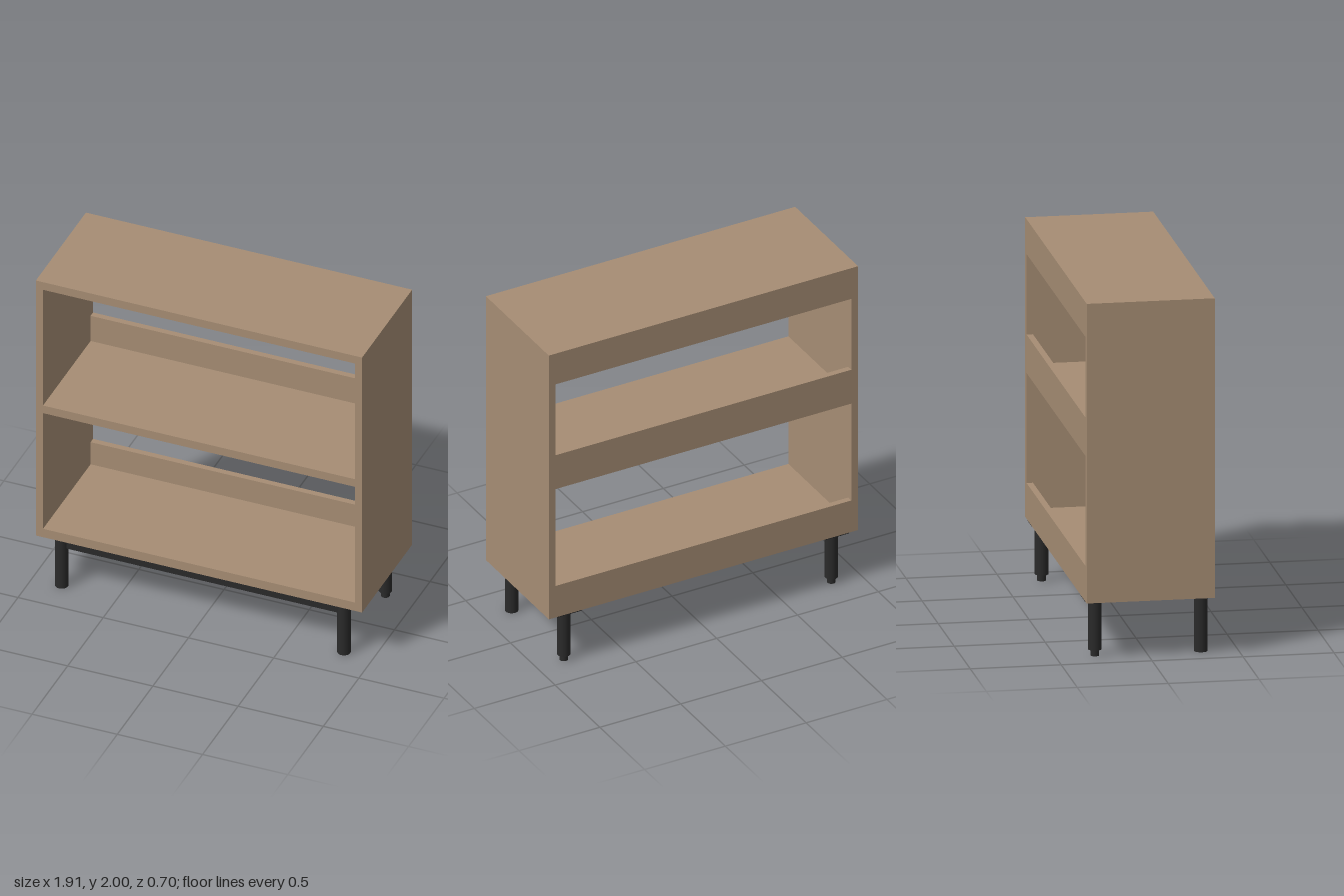
import * as THREE from 'three';

export function createModel() {
  const group = new THREE.Group();
  const wood = new THREE.MeshStandardMaterial({ color: 0xa68d74 });
  wood.name = 'wood';
  const metal = new THREE.MeshStandardMaterial({ color: 0x2a2a2a });
  metal.name = 'black metal';

  const add = (name, geometry, material, x, y, z) => {
    const mesh = new THREE.Mesh(geometry, material);
    mesh.name = name;
    mesh.position.set(x, y, z);
    group.add(mesh);
  };
  // Box given by its extents along each axis
  const box = (name, material, [x0, x1], [y0, y1], [z0, z1]) =>
    add(name, new THREE.BoxGeometry(x1 - x0, y1 - y0, z1 - z0), material,
      (x0 + x1) / 2, (y0 + y1) / 2, (z0 + z1) / 2);
  // Upright cylinder standing between two heights
  const post = (name, radius, x, y0, y1, z) =>
    add(name, new THREE.CylinderGeometry(radius, radius, y1 - y0, 32), metal, x, (y0 + y1) / 2, z);

  const W = 0.957, D = 0.352, inner = 0.915;
  const base = 0.325, floor = 0.38, ceiling = 1.95;
  const rail = 0.035; // thickness of the back rails

  // Cabinet boards
  box('topPanel', wood, [-W, W], [ceiling, 2], [-D, D]);
  box('bottomPanel', wood, [-W, W], [base, floor], [-D, D]);
  box('leftSide', wood, [inner, W], [floor, ceiling], [-D, D]);
  box('rightSide', wood, [-W, -inner], [floor, ceiling], [-D, D]);
  box('shelf', wood, [-inner, inner], [1.14, 1.19], [-D + rail, D]);

  // Rails along the open back
  const rails = { topRail: [1.805, ceiling], shelfRail: [1.14, 1.355], bottomRail: [floor, 0.525] };
  for (const [name, span] of Object.entries(rails))
    box(name, wood, [-inner, inner], span, [-D, -D + rail]);

  // Legs with their mounting plates; the back ones have adjustable feet
  for (const side of [1, -1]) {
    const x = side * 0.828, label = side > 0 ? 'Left' : 'Right';
    post(`front${label}Leg`, 0.037, x, 0, base, 0.297);
    box(`front${label}Plate`, metal, [x - 0.09, x + 0.09], [base - 0.007, base], [0.15, 0.335]);
    post(`back${label}Leg`, 0.037, x, 0.035, base, -0.285);
    post(`back${label}Foot`, 0.024, x, 0, 0.035, -0.285);
    box(`back${label}Plate`, metal, [x - 0.075, x + 0.075], [base - 0.006, base], [-0.35, -0.21]);
  }

  // Crossbar joining the front legs
  box('frontCrossbar', metal, [-0.8, 0.8], [0.257, base], [0.282, 0.312]);

  return group;
}
